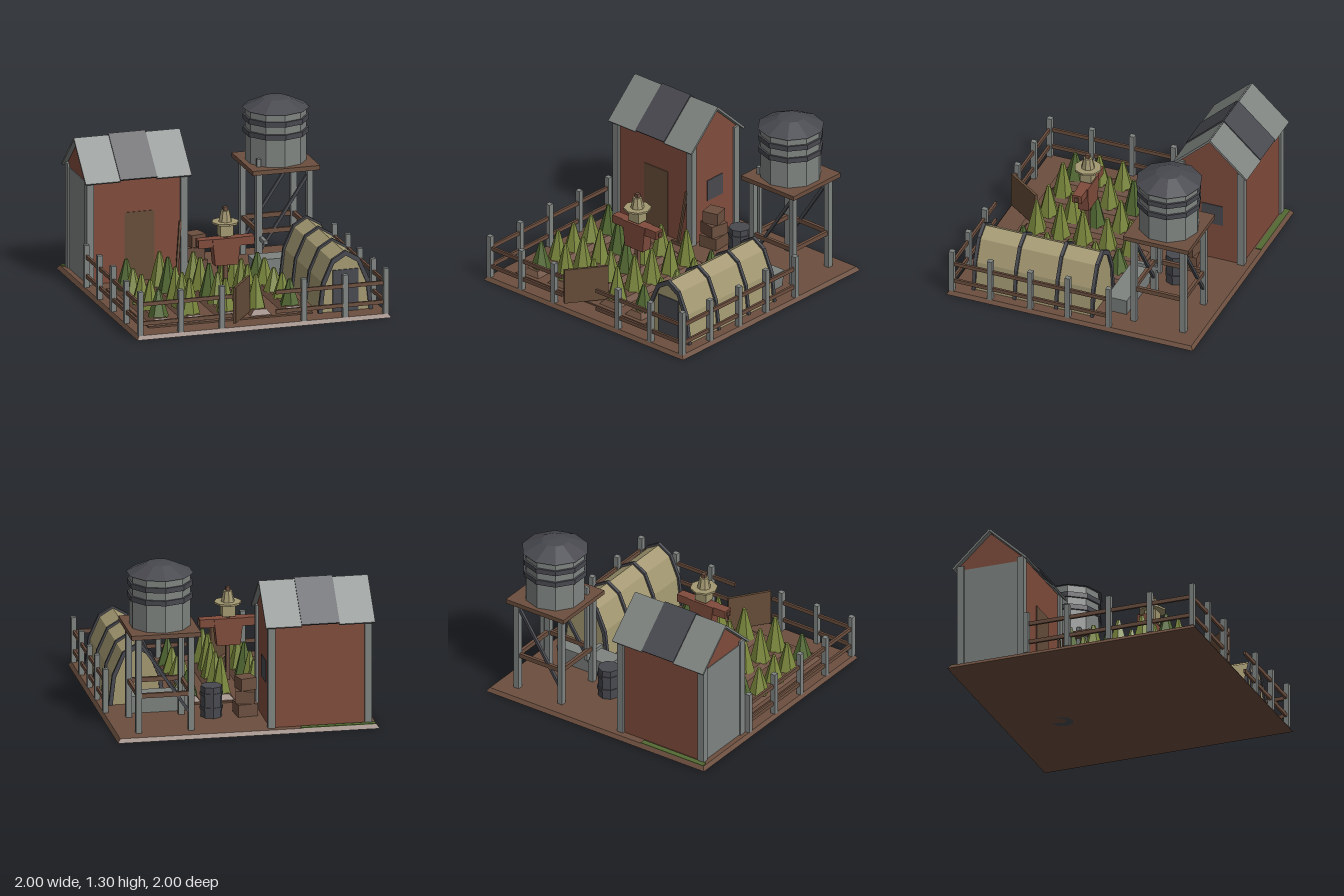
import * as THREE from 'three';

const mat = (name, color) => {
  const m = new THREE.MeshStandardMaterial({ color, flatShading: true });
  m.name = name;
  return m;
};

export function createModel() {
  const soil = mat('earth brown', 0x6c4f3f);
  const plank = mat('old plank', 0x664d39);
  const red = mat('barn red', 0x804c3c);
  const grey = mat('weathered grey', 0x7f8481);
  const slate = mat('slate', 0x48494f);
  const canvas = mat('canvas', 0xa39871);
  const olive = mat('olive leaf', 0x7a873c);
  const green = mat('dark leaf', 0x536a33);

  const root = new THREE.Group();
  root.name = 'farmYard';
  const group = (name, x = 0, y = 0, z = 0) => {
    const g = new THREE.Group();
    g.name = name;
    g.position.set(x, y, z);
    root.add(g);
    return g;
  };
  const add = (parent, name, geo, m, x = 0, y = 0, z = 0) => {
    const mesh = new THREE.Mesh(geo, m);
    mesh.name = name;
    mesh.position.set(x, y, z);
    parent.add(mesh);
    return mesh;
  };
  // box given by its centre in x and z and its bottom and top heights
  const box = (p, name, m, x, z, w, d, y0, y1) =>
    add(p, name, new THREE.BoxGeometry(w, y1 - y0, d), m, x, (y0 + y1) / 2, z);
  // box whose top is scaled
  const frustum = (p, name, m, x, z, w, d, y0, y1, sx, sz) => {
    const mesh = box(p, name, m, x, z, w, d, y0, y1);
    const pos = mesh.geometry.attributes.position;
    for (let i = 0; i < pos.count; i++) {
      if (pos.getY(i) > 0) pos.setXYZ(i, pos.getX(i) * sx, pos.getY(i), pos.getZ(i) * sz);
    }
    mesh.geometry.computeVertexNormals();
    return mesh;
  };
  const drum = (p, name, m, x, z, rTop, rBottom, y0, y1, sides) =>
    add(p, name, new THREE.CylinderGeometry(rTop, rBottom, y1 - y0, sides), m, x, (y0 + y1) / 2, z);
  // square bar between two points
  const beam = (p, name, m, a, b, t) => {
    const A = new THREE.Vector3(...a), B = new THREE.Vector3(...b);
    const mesh = add(p, name, new THREE.BoxGeometry(t, A.distanceTo(B), t), m);
    mesh.position.copy(A).add(B).multiplyScalar(0.5);
    mesh.quaternion.setFromUnitVectors(new THREE.Vector3(0, 1, 0), B.sub(A).normalize());
    return mesh;
  };
  const extrude = (pts, depth) => new THREE.ExtrudeGeometry(
    new THREE.Shape(pts.map(([x, y]) => new THREE.Vector2(x, y))), { depth, bevelEnabled: false });

  // ground
  const ground = group('ground');
  frustum(ground, 'groundSlab', soil, 0, 0, 2, 2, 0, 0.03, 0.98, 0.98);
  box(ground, 'grassStrip', green, -0.69, -0.957, 0.57, 0.046, 0.029, 0.036);

  // barn
  const barn = group('barn', -0.555, 0, -0.67);
  const body = extrude([[-0.25, 0.03], [0.25, 0.03], [0.25, 0.855], [0, 1.085], [-0.25, 0.855]], 0.76);
  body.rotateY(Math.PI / 2);
  add(barn, 'barnWalls', body, red, -0.38);
  for (const sx of [-1, 1]) for (const sz of [-1, 1])
    box(barn, 'cornerPost', grey, sx * 0.37, sz * 0.242, 0.055, 0.055, 0.03, 0.85);
  box(barn, 'barnDoor', plank, 0.022, 0.252, 0.235, 0.009, 0.03, 0.57);
  box(barn, 'barnWindow', slate, 0.381, -0.008, 0.009, 0.175, 0.34, 0.51);
  box(barn, 'sidePanel', grey, -0.381, 0, 0.009, 0.44, 0.03, 0.82);
  const slope = Math.atan2(0.28, 0.3);
  for (const s of [-1, 1]) {
    [[-0.278, grey, 0], [0.002, slate, 0.012], [0.282, grey, 0]].forEach(([x, m, lift]) => {
      const sheet = add(barn, 'roofSheet', new THREE.BoxGeometry(lift ? 0.29 : 0.275, 0.016, 0.408), m,
        x, 0.965 + lift, s * 0.149);
      sheet.rotation.x = s * slope;
    });
  }

  // rake leaning on the barn
  const rake = group('rake');
  beam(rake, 'rakeHandle', plank, [-0.26, 0.04, -0.36], [-0.215, 0.47, -0.405], 0.018);
  box(rake, 'rakeHead', plank, -0.26, -0.36, 0.12, 0.02, 0.03, 0.055);

  // stacked crates
  const crates = group('crates', -0.06, 0, -0.54);
  [[0.155, 0.1], [0.145, -0.2], [0.125, 0.25]].forEach(([w, turn], i) => {
    box(crates, 'crate', soil, 0, 0, w, w, 0.03 + i * 0.1, 0.125 + i * 0.1).rotation.y = turn;
  });

  // barrel
  const barrel = group('barrel', 0.2, 0, -0.54);
  drum(barrel, 'barrelBody', slate, 0, 0, 0.083, 0.083, 0, 0.27, 8);
  for (const y of [0.09, 0.2]) drum(barrel, 'barrelHoop', slate, 0, 0, 0.09, 0.09, y, y + 0.022, 8);

  // water tower
  const tower = group('waterTower', 0.615, 0, -0.65);
  const h = 0.2;
  for (let i = 0; i < 4; i++) {
    const side = new THREE.Group();
    side.name = 'towerSide';
    side.rotation.y = i * Math.PI / 2;
    tower.add(side);
    box(side, 'towerLeg', grey, h, h, 0.045, 0.045, 0.03, 0.775);
    box(side, 'towerCrossbar', soil, 0, h, 0.4, 0.025, 0.3, 0.335);
  }
  for (const z of [-h, h]) beam(tower, 'towerBrace', slate, [-h, 0.15, z], [h, 0.75, z], 0.022);
  box(tower, 'towerDeck', soil, 0, 0, 0.53, 0.53, 0.775, 0.81);
  drum(tower, 'tank', grey, 0, 0, 0.232, 0.232, 0.81, 1.225, 10);
  for (const y of [1.025, 1.125]) drum(tower, 'tankBand', slate, 0, 0, 0.248, 0.248, y, y + 0.04, 10);
  drum(tower, 'tankRoof', slate, 0, 0, 0.1, 0.255, 1.222, 1.295, 10);
  drum(tower, 'tankCap', slate, 0, 0, 0, 0.1, 1.295, 1.305, 10);
  box(tower, 'tankPipe', grey, -0.185, 0.15, 0.03, 0.03, 0.23, 0.87);
  box(tower, 'pipeSpout', grey, -0.185, 0.235, 0.03, 0.2, 0.25, 0.28);

  // trough
  const trough = group('trough');
  frustum(trough, 'troughBody', grey, 0.55, -0.298, 0.45, 0.15, 0.03, 0.165, 1.08, 1.1);

  // arched greenhouse
  const house = group('greenhouse', 0.695, 0.03, 0);
  const arch = (rx, ry) => Array.from({ length: 7 }, (_, i) =>
    [rx * Math.cos(i * Math.PI / 6), ry * Math.sin(i * Math.PI / 6)]);
  add(house, 'greenhouseCover', extrude(arch(0.2, 0.457), 0.955), canvas, 0, 0, -0.14);
  for (const z of [-0.155, 0.135, 0.472, 0.803])
    add(house, 'greenhouseRib', extrude([...arch(0.216, 0.475), ...arch(0.185, 0.435).reverse()], 0.026), slate, 0, 0, z);
  box(house, 'greenhouseDoor', slate, 0, 0.819, 0.2, 0.009, 0, 0.325);

  // vegetable bed: raised rows with plants, each column with its own height
  const garden = group('garden');
  box(garden, 'gardenBed', soil, -0.205, 0.28, 1.29, 1.06, 0.028, 0.042);
  const rowZ = [-0.11, 0.08, 0.28, 0.465, 0.66];
  const columns = [[-0.735, 0.23], [-0.475, 0.275], [-0.205, 0.26], [0.045, 0.28], [0.302, 0.2]];
  columns.forEach(([x, height], c) => {
    frustum(garden, 'soilRow', soil, x, 0.278, 0.165, 1.0, 0.042, 0.08, 0.6, 0.94);
    rowZ.forEach((z, r) => {
      const dark = (c - r) % 4 === 0 && c !== 3;
      drum(garden, 'plant', dark ? green : olive, x + 0.008 * Math.sin(c * 3 + r * 5), z,
        0.014, 0.08, 0.07, 0.07 + height - 0.01 * ((c + r * 2) % 3), 6).rotation.y = 0.3 * Math.sin(c + r * 2);
    });
  });

  // scarecrow
  const crow = group('scarecrow', -0.085, 0, 0.295);
  box(crow, 'scarecrowPole', soil, 0, 0, 0.032, 0.032, 0.03, 0.77);
  box(crow, 'armStick', soil, 0, 0, 0.46, 0.03, 0.48, 0.515);
  for (const s of [-1, 1])
    box(crow, 'sleeve', red, s * 0.15, 0, 0.14, 0.075, 0.465, 0.53);
  frustum(crow, 'coat', red, 0, 0, 0.18, 0.085, 0.32, 0.53, 1.25, 1.05);
  box(crow, 'head', canvas, 0, 0, 0.1, 0.09, 0.545, 0.645);
  drum(crow, 'hatBrim', canvas, 0, 0, 0.105, 0.105, 0.64, 0.655, 8);
  drum(crow, 'hatCrown', canvas, 0, 0, 0.034, 0.052, 0.655, 0.74, 8);

  // fence
  const fence = group('fence');
  const post = (x, z, i) => box(fence, 'fencePost', grey, x, z, 0.04, 0.04, 0.03, 0.36 + 0.012 * (i % 3));
  [-0.65, -0.325, 0.32, 0.645].forEach((x, i) => post(x, 0.965, i * 3));
  [-0.37, -0.04, 0.295, 0.625, 0.965].forEach((z, i) => post(-0.968, z, i + 3));
  [-0.305, 0.025, 0.33, 0.655, 0.965].forEach((z, i) => post(0.965, z, i + 1));
  for (const y of [0.105, 0.255]) {
    box(fence, 'frontRailRight', soil, -0.605, 0.965, 0.73, 0.018, y, y + 0.03);
    box(fence, 'frontRailLeft', soil, 0.535, 0.965, 0.87, 0.018, y, y + 0.03);
    box(fence, 'sideRailRight', soil, -0.968, 0.298, 0.018, 1.34, y, y + 0.03);
    box(fence, 'sideRailLeft', soil, 0.965, 0.33, 0.018, 1.27, y, y + 0.03);
  }
  const gate = box(fence, 'openGate', plank, -0.125, 0.828, 0.34, 0.02, 0.055, 0.335);
  gate.rotation.y = Math.atan2(0.275, 0.2);

  return root;
}
